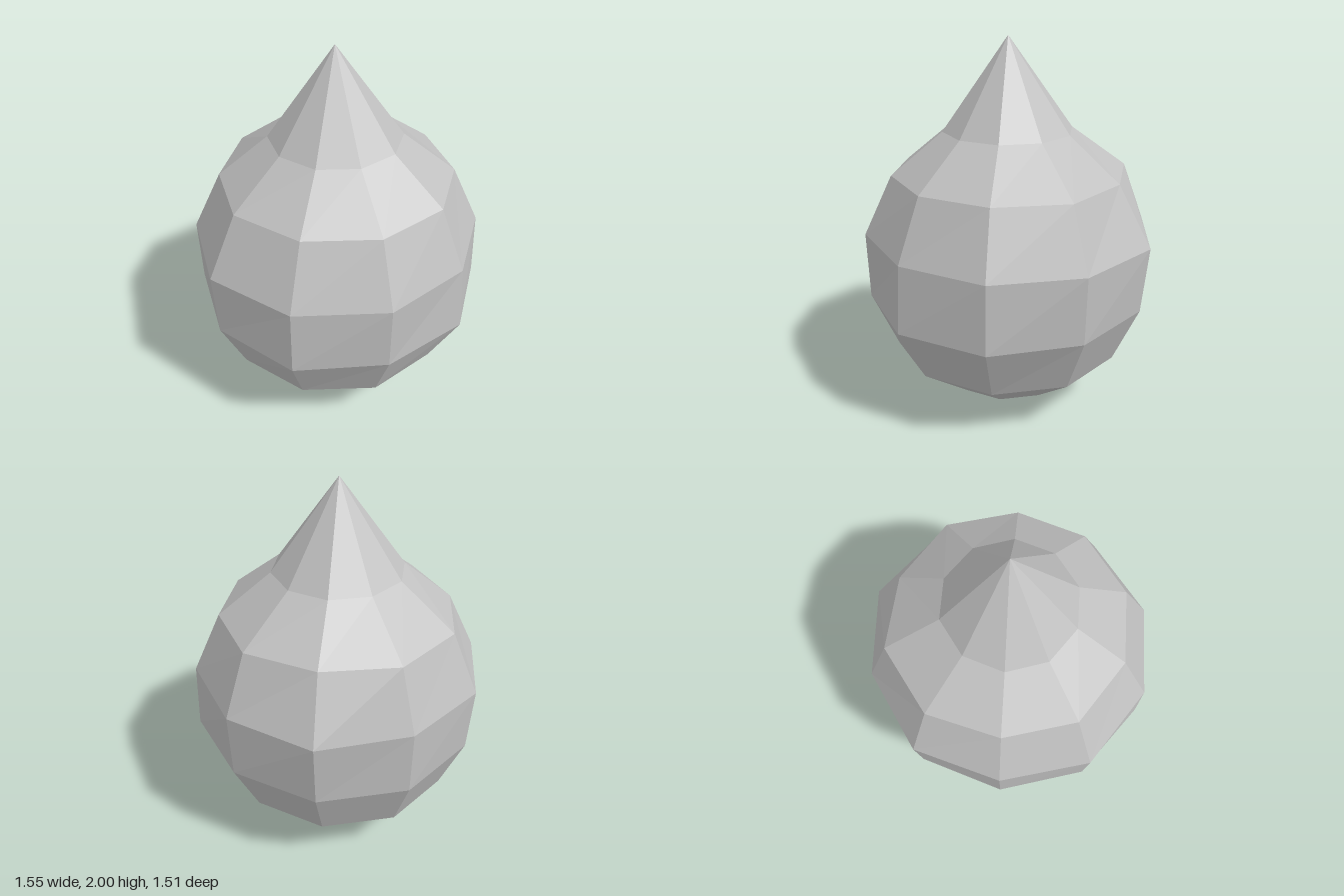
import * as THREE from 'three';

const SIDES = 10;

// Rings from bottom to top: height, centre x, and one radius or ten slightly uneven radii
const RINGS = [
  { y: 0.08, cx: -0.018, r: 0.35 },
  { y: 0.30, cx: -0.022, r: 0.633 },
  { y: 0.62, cx: -0.015, r: [0.79, 0.79, 0.768, 0.79, 0.775, 0.76, 0.765, 0.765, 0.768, 0.77] },
  { y: 0.98, cx: -0.015, r: [0.775, 0.765, 0.775, 0.78, 0.79, 0.765, 0.785, 0.773, 0.8, 0.78] },
  { y: 1.30, cx: -0.01, r: [0.62, 0.62, 0.62, 0.62, 0.63, 0.615, 0.645, 0.65, 0.62, 0.64] },
  { y: 1.52, cx: -0.015, r: 0.347 },
];

function dropGeometry() {
  const positions = [];
  const index = [];
  RINGS.forEach(({ y, cx, r }) => {
    for (let k = 0; k < SIDES; k++) {
      const a = (k / SIDES) * Math.PI * 2;
      const radius = Array.isArray(r) ? r[k] : r;
      positions.push(cx + radius * Math.cos(a), y, radius * Math.sin(a));
    }
  });

  // Bottom point and top tip
  const bottom = RINGS.length * SIDES;
  const tip = bottom + 1;
  positions.push(-0.018, 0, 0, -0.018, 2, 0);

  const last = (RINGS.length - 1) * SIDES;
  for (let k = 0; k < SIDES; k++) {
    const n = (k + 1) % SIDES;
    index.push(bottom, k, n);
    // Bands between neighbouring rings
    for (let row = 0; row < last; row += SIDES) {
      const a = row + k, b = row + n;
      const c = a + SIDES, d = b + SIDES;
      index.push(a, c, b, b, c, d);
    }
    index.push(last + k, tip, last + n);
  }

  // Separate faces give crisp facets
  const indexed = new THREE.BufferGeometry();
  indexed.setAttribute('position', new THREE.Float32BufferAttribute(positions, 3));
  indexed.setIndex(index);
  const geometry = indexed.toNonIndexed();
  geometry.computeVertexNormals();
  return geometry;
}

export function createModel() {
  const grey = new THREE.MeshStandardMaterial({ color: 0xc0c0c0, flatShading: true });
  grey.name = 'grey';
  const drop = new THREE.Mesh(dropGeometry(), grey);
  drop.name = 'drop';
  const group = new THREE.Group();
  group.name = 'droplet';
  group.add(drop);
  return group;
}
